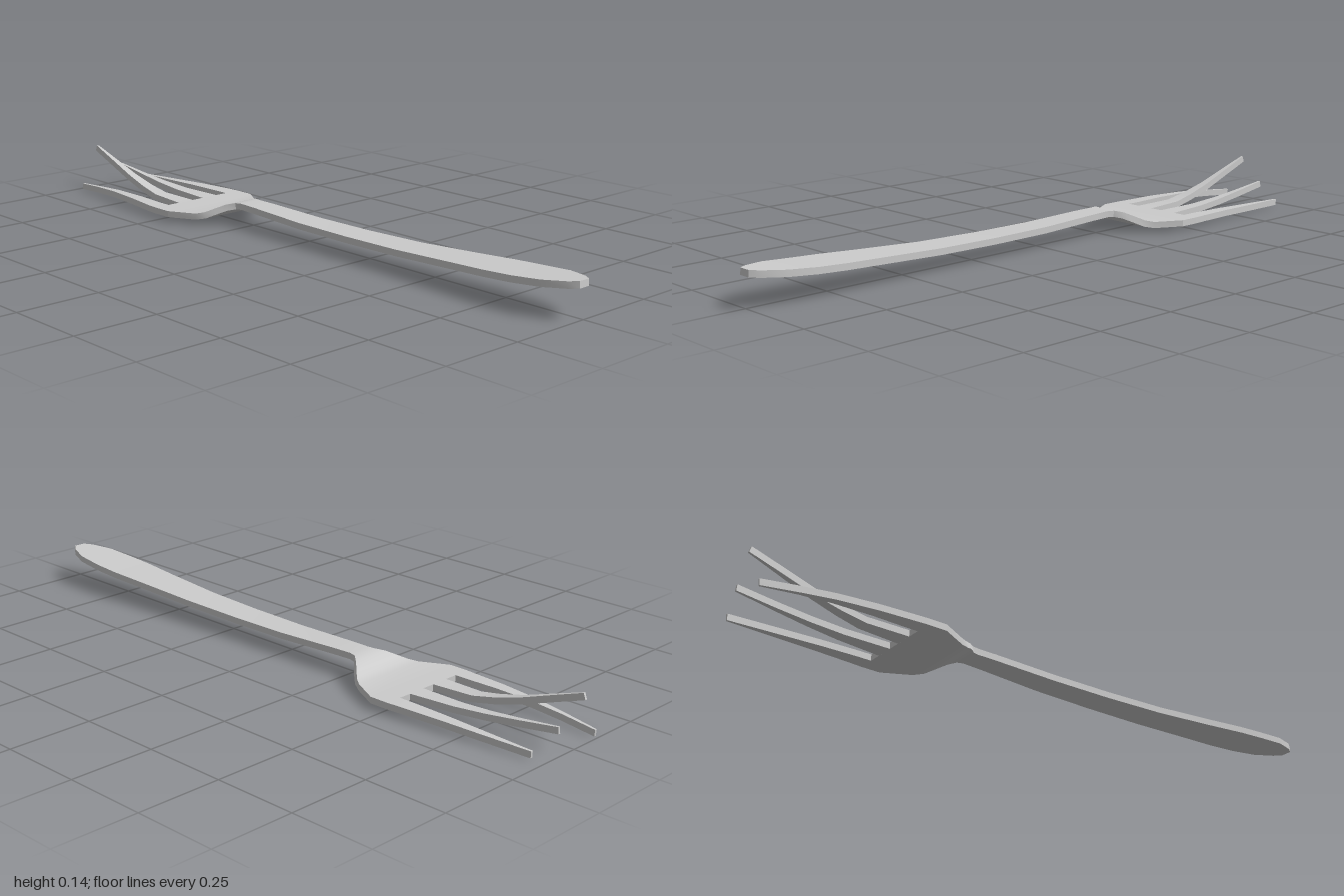
import * as THREE from 'three';
import { toCreasedNormals } from 'three/addons/utils/BufferGeometryUtils.js';

const THICKNESS = 0.019;

// Lofts a flat bar through stations [z, xMin, xMax, yCentre], front to back,
// keeping its thickness square to the bend.
function bar(name, stations, material) {
  const rings = stations.map(([z, x0, x1, y], i) => {
    const a = stations[Math.max(i - 1, 0)];
    const b = stations[Math.min(i + 1, stations.length - 1)];
    const dz = b[0] - a[0], dy = b[3] - a[3], len = Math.hypot(dz, dy);
    const ny = (-dz / len) * THICKNESS / 2, nz = (dy / len) * THICKNESS / 2;
    return [
      [x0, y - ny, z - nz], [x1, y - ny, z - nz],
      [x1, y + ny, z + nz], [x0, y + ny, z + nz],
    ];
  });
  const pos = [];
  const quad = (a, b, c, d) => pos.push(...a, ...b, ...c, ...a, ...c, ...d);
  quad(...rings[0]);
  for (let i = 0; i < rings.length - 1; i++) {
    const p = rings[i], q = rings[i + 1];
    for (let k = 0; k < 4; k++) {
      const n = (k + 1) % 4;
      quad(p[n], p[k], q[k], q[n]);
    }
  }
  quad(...rings[rings.length - 1].slice().reverse());
  const geometry = new THREE.BufferGeometry();
  geometry.setAttribute('position', new THREE.Float32BufferAttribute(pos, 3));
  const mesh = new THREE.Mesh(toCreasedNormals(geometry, 0.4), material);
  mesh.name = name;
  return mesh;
}

export function createModel() {
  const group = new THREE.Group();
  group.name = 'fork';
  const material = new THREE.MeshStandardMaterial({ color: 0xcccccc });

  // Handle, neck and head: [z, half width, y]
  const body = [
    [0.999, 0.018, 0.095], [0.975, 0.036, 0.093], [0.91, 0.06, 0.088],
    [0.82, 0.067, 0.081], [0.73, 0.068, 0.076], [0.6, 0.061, 0.069],
    [0.4, 0.053, 0.059], [0.2, 0.048, 0.055], [0, 0.044, 0.055],
    [-0.2, 0.038, 0.061], [-0.265, 0.036, 0.062], [-0.285, 0.041, 0.061],
    [-0.305, 0.06, 0.056], [-0.33, 0.085, 0.043], [-0.352, 0.106, 0.031],
    [-0.378, 0.122, 0.025], [-0.46, 0.165, 0.025], [-0.52, 0.165, 0.025],
  ];
  group.add(bar('handleAndHead', body.map(([z, w, y]) => [z, -w, w, y]), material));

  // Four tines, each bent its own way
  const tines = {
    outerRightTine: [
      [-0.52, -0.165, -0.115, 0.025], [-0.56, -0.162, -0.115, 0.025],
      [-0.66, -0.151, -0.114, 0.027], [-0.78, -0.136, -0.112, 0.026],
      [-0.88, -0.123, -0.109, 0.02], [-0.99, -0.109, -0.102, 0.011],
    ],
    innerRightTine: [
      [-0.52, -0.075, -0.02, 0.025], [-0.65, -0.067, -0.026, 0.028],
      [-0.72, -0.063, -0.03, 0.042], [-0.8, -0.058, -0.033, 0.064],
      [-0.9, -0.053, -0.037, 0.099], [-0.993, -0.048, -0.041, 0.131],
    ],
    innerLeftTine: [
      [-0.52, 0.02, 0.075, 0.025], [-0.66, 0.026, 0.064, 0.027],
      [-0.76, 0.03, 0.057, 0.034], [-0.86, 0.034, 0.051, 0.045],
      [-0.98, 0.037, 0.044, 0.06],
    ],
    outerLeftTine: [
      [-0.52, 0.115, 0.165, 0.025], [-0.56, 0.115, 0.162, 0.025],
      [-0.68, 0.116, 0.152, 0.023], [-0.8, 0.117, 0.141, 0.019],
      [-0.96, 0.119, 0.126, 0.014],
    ],
  };
  for (const [name, stations] of Object.entries(tines)) {
    group.add(bar(name, stations, material));
  }
  return group;
}
